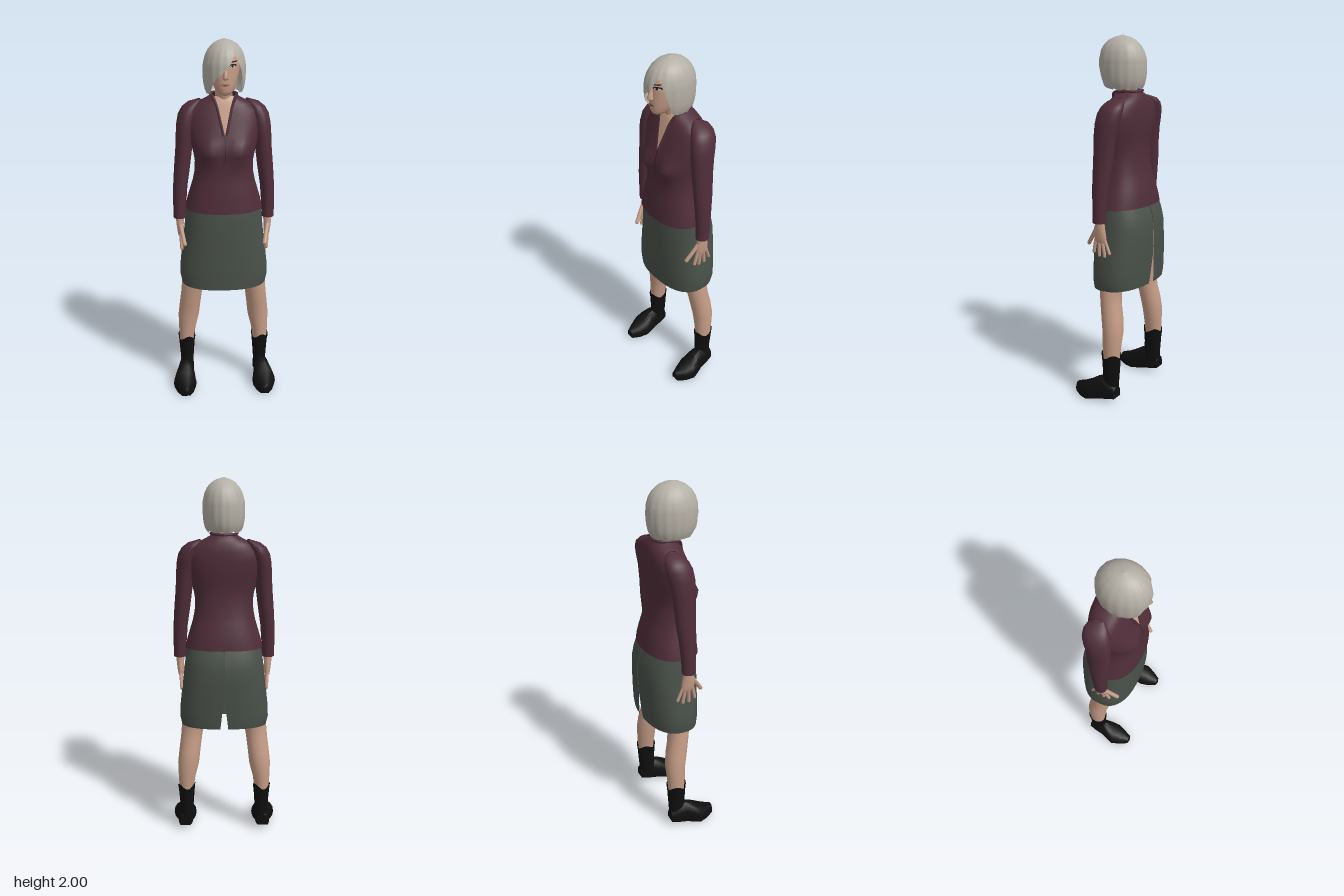
import * as THREE from 'three';
import { toCreasedNormals } from 'three/addons/utils/BufferGeometryUtils.js';

const material = (name, color) => {
  const m = new THREE.MeshStandardMaterial({ color, side: THREE.DoubleSide });
  m.name = name;
  return m;
};

// Piecewise linear lookup in [x, y] pairs
function lookup(pairs, x) {
  if (x <= pairs[0][0]) return pairs[0][1];
  for (let i = 1; i < pairs.length; i++) {
    const [x0, y0] = pairs[i - 1], [x1, y1] = pairs[i];
    if (x <= x1) return y0 + (y1 - y0) * (x - x0) / (x1 - x0);
  }
  return pairs[pairs.length - 1][1];
}

// Surface from f(column, row) -> [x, y, z]; closed joins the last column to the first
function grid(cols, rows, f, closed = true) {
  const pos = [], idx = [];
  for (let j = 0; j < rows; j++) for (let i = 0; i < cols; i++) pos.push(...f(i, j));
  for (let j = 0; j < rows - 1; j++) for (let i = 0; i < (closed ? cols : cols - 1); i++) {
    const k = (i + 1) % cols, a = j * cols + i, b = j * cols + k;
    idx.push(a, b, b + cols, a, b + cols, a + cols);
  }
  const g = new THREE.BufferGeometry();
  g.setAttribute('position', new THREE.Float32BufferAttribute(pos, 3));
  g.setIndex(idx);
  g.computeVertexNormals();
  return g;
}

// Point on a ring [y, centre x, half width, front z, back z]
function ringPoint([y, cx, rx, zf, zb], a, e = 2) {
  const p = v => Math.sign(v) * Math.abs(v) ** (2 / e);
  return [cx + rx * p(Math.sin(a)), y, (zf + zb) / 2 + (zf - zb) / 2 * p(Math.cos(a))];
}
const noWarp = p => p;
const loft = (rings, e = 2, n = 24, warp = noWarp) => grid(n, rings.length, (i, j) => {
  const a = i / n * Math.PI * 2;
  return warp(ringPoint(rings[j], a, e), j, a);
});
const mirrored = (rings, s) => rings.map(([y, cx, ...r]) => [y, cx * s, ...r]);

const TORSO = [
  [1.10, 0, .212, .14, -.16], [1.15, 0, .2, .135, -.155], [1.20, 0, .185, .13, -.145], [1.25, 0, .17, .123, -.132],
  [1.30, 0, .16, .117, -.12], [1.36, 0, .157, .117, -.112], [1.40, 0, .163, .12, -.11], [1.43, 0, .17, .12, -.11],
  [1.47, 0, .18, .112, -.114], [1.51, 0, .187, .103, -.12], [1.58, 0, .2, .082, -.125], [1.63, 0, .185, .066, -.122],
  [1.665, 0, .15, .055, -.115], [1.69, 0, .1, .046, -.105], [1.71, 0, .065, .036, -.088]];
const HEAD = [
  [1.722, 0, .01, .115, .09], [1.728, 0, .032, .13, .05], [1.745, 0, .046, .137, .0], [1.77, 0, .06, .139, -.04],
  [1.81, 0, .071, .14, -.06], [1.85, 0, .079, .137, -.08], [1.90, 0, .081, .138, -.085], [1.95, 0, .06, .11, -.06],
  [1.975, 0, .02, .06, -.01]];

const bust = (x, y) => .028 * Math.exp(-(((Math.abs(x) - .085) / .055) ** 2) - ((y - 1.425) / .055) ** 2);

// Front z of a ringed body at x, y
function frontZ(rings, e, x, y) {
  const v = k => lookup(rings.map(r => [r[0], r[k]]), y);
  const rx = v(2), zf = v(3), zb = v(4), q = Math.min(1, Math.abs(x / rx));
  return (zf + zb) / 2 + (zf - zb) / 2 * (1 - q ** e) ** (1 / e);
}
const chest = (x, y) => frontZ(TORSO, 2.3, x, y) + bust(x, y);
const face = (x, y) => frontZ(HEAD, 2.2, x, y);

export function createModel() {
  const root = new THREE.Group();
  root.name = 'woman';
  const skin = material('skin', 0xc69d87), shirt = material('plum cardigan', 0x4f2d39);
  const skirtMat = material('grey green skirt', 0x495049), hairMat = material('silver hair', 0xb4afa5);
  const black = material('black leather', 0x100f10), dark = material('dark lash', 0x2a211e);
  const white = material('eye white', 0xcfc6bc), lip = material('lip', 0xa3705f), seam = material('dark seam', 0x2c171f);

  const add = (name, geo, mat, parent = root) => {
    const m = new THREE.Mesh(geo, mat);
    m.name = name;
    parent.add(m);
    return m;
  };

  // Cardigan body with bust and a hem that dips at the front
  add('cardigan', loft(TORSO, 2.3, 40, ([x, y, z], j, a) =>
    [x, y - (j ? 0 : .008 * Math.cos(a)), z + (Math.cos(a) > 0 ? bust(x, y) : 0)]), shirt);

  // Open neckline and front seam, laid on the chest
  const strip = (y0, y1, width, off) => grid(7, 14, (i, j) => {
    const y = y0 + (y1 - y0) * j / 13, x = width(y) * (i / 3 - 1);
    return [x, y, chest(x, y) + off];
  }, false);
  const neckline = [[1.51, .001], [1.56, .012], [1.6, .021], [1.66, .035], [1.71, .052]];
  add('neckline', strip(1.51, 1.708, y => lookup(neckline, y), .005), skin);
  add('frontSeam', strip(1.37, 1.515, () => .002, .005), seam);

  // Collar rolled round the neck and down both sides of the opening
  for (const s of [-1, 1]) {
    const pts = [1.51, 1.56, 1.61, 1.66].map(y => {
      const x = lookup(neckline, y) + .005;
      return new THREE.Vector3(s * x, y, chest(x, y) + .001);
    });
    pts.push(new THREE.Vector3(s * .06, 1.705, .036), new THREE.Vector3(s * .069, 1.715, -.02),
      new THREE.Vector3(s * .045, 1.715, -.075), new THREE.Vector3(0, 1.715, -.09));
    add('collar', new THREE.TubeGeometry(new THREE.CatmullRomCurve3(pts), 32, .008, 6), shirt);
  }

  // Skirt with a slit at the centre back
  const SKIRT = [
    [.655, 0, .238, .128, -.168], [.70, 0, .248, .13, -.172], [.76, 0, .246, .131, -.176], [.83, 0, .238, .131, -.18],
    [.92, 0, .226, .131, -.184], [1.0, 0, .217, .13, -.184], [1.06, 0, .211, .128, -.172], [1.115, 0, .203, .122, -.152]];
  add('skirt', grid(49, SKIRT.length, (i, j) => {
    const gap = .004 + Math.max(0, .83 - SKIRT[j][0]) * .3;
    const a = (i / 24 - 1) * (Math.PI - gap);
    const [x, y, z] = ringPoint(SKIRT[j], a, 2.4);
    return [x, y - (j ? 0 : .011 * Math.cos(a)), z];
  }, false), skirtMat);

  // Neck, head and nose
  add('neck', loft([[1.58, 0, .05, .03, -.08], [1.66, 0, .047, .042, -.075], [1.72, 0, .045, .055, -.066],
    [1.79, 0, .047, .07, -.06]]), skin);
  add('head', loft(HEAD, 2.2, 32), skin);
  add('nose', loft([[1.802, 0, .004, .143, .125], [1.807, 0, .016, .157, .12], [1.817, 0, .016, .164, .12],
    [1.835, 0, .011, .154, .12], [1.865, 0, .008, .142, .12], [1.88, 0, .005, .135, .12]], 2, 12), skin);

  // Painted face details
  const spot = (name, x, y, w, h, mat, off, tilt = 0) => {
    const g = new THREE.CircleGeometry(1, 18).scale(w, h, 1).rotateZ(tilt).translate(x, y, 0), p = g.attributes.position;
    for (let i = 0; i < p.count; i++) p.setZ(i, face(p.getX(i), p.getY(i)) + off);
    g.computeVertexNormals();
    add(name, g, mat);
  };
  for (const s of [-1, 1]) {
    spot('eyeLash', s * .037, 1.874, .021, .0085, dark, .003, s * .08);
    spot('eyeWhite', s * .037, 1.871, .016, .0055, white, .004);
    spot('iris', s * .036, 1.8715, .006, .0058, dark, .005);
    spot('eyebrow', s * .038, 1.893, .024, .0035, dark, .003, s * .12);
  }
  spot('lips', 0, 1.777, .023, .0065, lip, .004);
  spot('mouthLine', 0, 1.778, .021, .0012, dark, .005);

  // Bobbed hair: a shell whose lower edge sweeps across one side of the face
  const width = [[1.715, .086], [1.74, .1], [1.78, .109], [1.83, .112], [1.88, .11], [1.92, .1], [1.95, .085],
    [1.975, .062], [1.99, .036], [2, .002]];
  const fringe = [[-.8, 1.725], [-.64, 1.765], [-.45, 1.805], [-.25, 1.828], [.05, 1.857], [.25, 1.885], [.4, 1.92],
    [.5, 1.925], [.62, 1.89], [.74, 1.845], [.82, 1.79], [.87, 1.74], [1, 1.725]];
  const N = 96, R = 22;
  add('hair', grid(N, R, (i, j) => {
    const a = i / N * Math.PI * 2, s = Math.sin(a), c = Math.cos(a);
    const hem = c > 0 ? lookup(fringe, s) : 1.725 + .005 * Math.sin(a * 9);
    const t = j / (R - 1), y = hem + (2 - hem) * (1 - (1 - t) ** 1.7);
    const r = lookup(width, y) * (1 + .013 * Math.sin(a * 17) * (1 - t));
    const part = .03 * t ** 3;
    return [r * s + part * (1 - t), y, .021 + r * c * (c > 0 ? 1.23 : 1.21)];
  }), hairMat);

  for (const s of [-1, 1]) {
    const side = new THREE.Group();
    side.name = s > 0 ? 'leftLimbs' : 'rightLimbs';
    root.add(side);

    // Sleeve
    add('sleeve', loft(mirrored([
      [1.04, .244, .034, .041, -.032], [1.12, .243, .036, .042, -.037], [1.22, .238, .039, .046, -.047],
      [1.32, .227, .043, .048, -.06], [1.42, .216, .045, .05, -.068], [1.5, .21, .047, .052, -.077],
      [1.56, .202, .051, .05, -.09], [1.61, .192, .051, .042, -.1], [1.645, .177, .046, .028, -.1],
      [1.67, .155, .036, .008, -.09], [1.685, .13, .01, -.02, -.06]], s)), shirt, side);

    // Hand with spread fingers
    add('palm', loft(mirrored([
      [.925, .24, .006, .02, -.02], [.935, .24, .014, .036, -.035], [.965, .241, .018, .042, -.036],
      [1.0, .243, .02, .04, -.03], [1.03, .243, .023, .03, -.025], [1.07, .243, .026, .03, -.025]], s), 2, 14), skin, side);
    const fingers = [ // base y, base z, tip x, tip y, tip z, radius
      [.95, .03, .236, .872, .048, .0095], [.945, .01, .234, .855, .014, .0095], [.945, -.01, .234, .855, -.022, .0095],
      [.95, -.027, .236, .875, -.054, .0085], [1.0, .03, .22, .91, .092, .0115]];
    fingers.forEach(([by, bz, tx, ty, tz, r], i) => {
      const from = new THREE.Vector3(s * .241, by, bz), to = new THREE.Vector3(s * tx, ty, tz);
      const m = add(i === 4 ? 'thumb' : 'finger', new THREE.CapsuleGeometry(r, from.distanceTo(to), 3, 8), skin, side);
      m.position.copy(from).lerp(to, .5);
      m.quaternion.setFromUnitVectors(new THREE.Vector3(0, 1, 0), to.clone().sub(from).normalize());
    });

    // Leg
    add('leg', loft(mirrored([
      [.25, .218, .04, -.004, -.097], [.33, .214, .048, .002, -.104], [.42, .204, .06, .006, -.11],
      [.5, .195, .06, .02, -.102], [.57, .186, .06, .031, -.087], [.65, .176, .063, .042, -.08],
      [.78, .15, .076, .066, -.1], [.95, .11, .09, .08, -.12]], s)), skin, side);

    // Boot shaft with an uneven top edge
    add('bootShaft', loft(mirrored([
      [.06, .22, .042, .01, -.093], [.13, .217, .037, .004, -.096], [.2, .217, .042, .003, -.101],
      [.25, .217, .046, .005, -.104], [.283, .217, .05, .008, -.108]], s), 2, 20,
      ([x, y, z], j, a) => [x, y + (j === 4 ? .014 * Math.sin(a * 3 + 1) : 0), z]), black, side);

    // Shoe, lofted from heel to toe: z, centre x, half width, sole y, top y
    const shoe = [
      [-.094, .226, .004, .05, .07], [-.092, .226, .032, .035, .1], [-.05, .226, .042, .027, .13], [0, .227, .046, .018, .145],
      [.04, .23, .058, .01, .128], [.08, .233, .067, .003, .1], [.13, .231, .05, 0, .074],
      [.178, .228, .025, .006, .058], [.185, .228, .006, .02, .045]];
    const shoeGeo = grid(14, shoe.length, (i, j) => {
      const [z, cx, w, y0, y1] = shoe[j], a = i / 14 * Math.PI * 2;
      const up = Math.sin(a), sole = y0 + (y1 - y0) * .28;
      const y = up > 0 ? sole + (y1 - sole) * up : Math.max(y0, sole + (sole - y0) * up * 2.4);
      return [s * cx + w * Math.sign(Math.cos(a)) * Math.abs(Math.cos(a)) ** .75, y, z];
    });
    add('shoe', toCreasedNormals(shoeGeo, .7), black, side);
  }
  return root;
}
